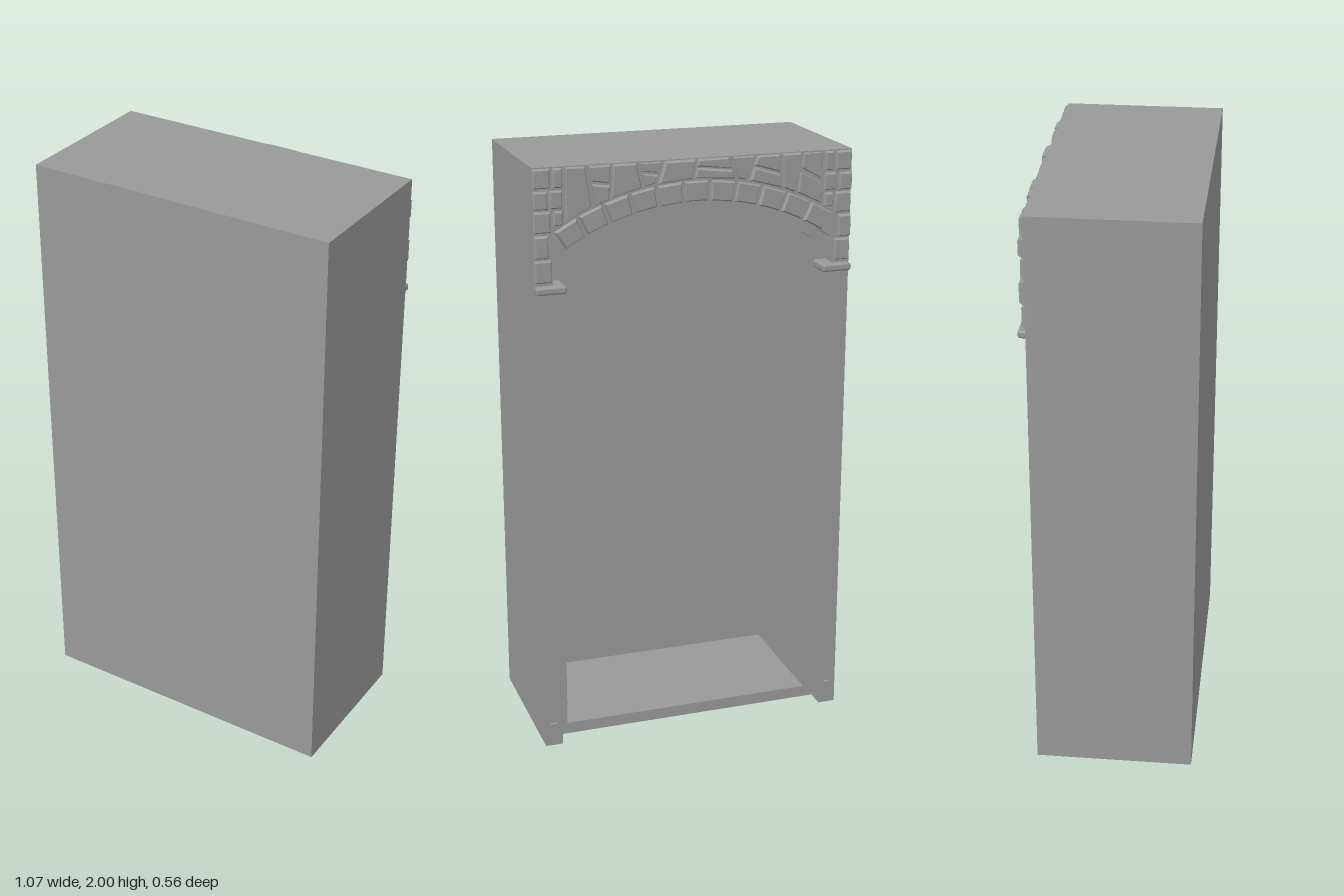
import * as THREE from 'three';
import { RoundedBoxGeometry } from 'three/addons/geometries/RoundedBoxGeometry.js';

const W = 0.535, H = 2, ARC_Y = 1.04;       // half width, height, centre of the arches
const BACK = 0.28, FACE = -0.255, REBATE = -0.19;

export function createModel() {
  const group = new THREE.Group();
  const stoneMat = new THREE.MeshStandardMaterial({ color: 0x999999 });
  stoneMat.name = 'grey stone';

  function add(name, geometry, x = 0, y = 0, z = 0) {
    const mesh = new THREE.Mesh(geometry, stoneMat);
    mesh.name = name;
    mesh.position.set(x, y, z);
    group.add(mesh);
    return mesh;
  }
  const slab = (name, shape, z0, z1) => add(name,
    new THREE.ExtrudeGeometry(shape, { depth: z1 - z0, bevelEnabled: false, curveSegments: 24 }), 0, 0, z0);

  // Traces an opening with straight jambs and a segmental arch
  function traceArch(path, halfWidth, floor, radius) {
    const a = Math.acos(halfWidth / radius);
    path.lineTo(-halfWidth, floor);
    path.lineTo(-halfWidth, ARC_Y + Math.sin(a) * radius);
    path.absarc(0, ARC_Y, radius, Math.PI - a, a, true);
    path.lineTo(halfWidth, floor);
  }

  // Rear wall and niche body
  add('backWall', new THREE.BoxGeometry(W * 2, H, 0.02), 0, H / 2, BACK - 0.01);
  const body = new THREE.Shape([[-W, 0], [W, 0], [W, H], [-W, H]].map(p => new THREE.Vector2(...p)));
  const niche = new THREE.Path();
  niche.moveTo(0.44, 0.04);
  traceArch(niche, 0.44, 0.04, 0.785);
  niche.closePath();
  body.holes.push(niche);
  slab('nicheBody', body, REBATE, BACK - 0.02);

  // Pilasters and spandrel wall, with a sunk panel in each pilaster
  function facade(withPanels) {
    const s = new THREE.Shape();
    s.moveTo(-W, 0);
    traceArch(s, 0.475, 0, 0.82);
    s.lineTo(W, 0);
    s.lineTo(W, H);
    s.lineTo(-W, H);
    s.closePath();
    if (withPanels) for (const c of [-0.505, 0.505]) {
      s.holes.push(new THREE.Path([[-1, 0.08], [1, 0.08], [1, 1.56], [-1, 1.56]]
        .map(([d, y]) => new THREE.Vector2(c + d * 0.012, y))));
    }
    return s;
  }
  slab('facadeCore', facade(false), FACE + 0.01, REBATE);
  slab('facadeFace', facade(true), FACE, FACE + 0.01);

  // Capitals
  for (const s of [-1, 1]) {
    add('capital', new RoundedBoxGeometry(0.1, 0.026, 0.09, 2, 0.008), s * (W - 0.05), 1.612, -0.235);
  }

  // Raised stone with chamfered edges, from its outline and front z
  function stone(name, points, front) {
    const shape = new THREE.Shape(points.map(p => new THREE.Vector2(...p)));
    add(name, new THREE.ExtrudeGeometry(shape, {
      depth: 0.02, bevelThickness: 0.01, bevelSize: 0.005, bevelOffset: -0.005, bevelSegments: 1
    }), 0, 0, front + 0.01);
  }

  // Arch ring
  const count = 11, half = 0.56, step = 2 * half / count, joint = 0.006;
  const polar = (r, a) => [Math.sin(a) * r, ARC_Y + Math.cos(a) * r];
  for (let i = 0; i < count; i++) {
    const a = -half + i * step + joint, b = a + step - 2 * joint, m = (a + b) / 2;
    stone('archStone', [polar(0.823, a), polar(0.823, m), polar(0.823, b),
      polar(0.888, b), polar(0.888, m), polar(0.888, a)], i % 2 ? -0.266 : -0.27);
  }

  // Corner quoins above the capitals
  const rect = (x0, x1, y0, y1) => [[x0, y0], [x1, y0], [x1, y1], [x0, y1]];
  const rows = [1.63, 1.71, 1.79, 1.865, 1.93, 2];
  for (const s of [-1, 1]) {
    for (let i = 0; i < rows.length - 1; i++) {
      const y0 = rows[i] + 0.004, y1 = rows[i + 1] - 0.004;
      const inner = i % 2 ? 0.489 : 0.479;
      const [a, b] = s > 0 ? [inner, W] : [-W, -inner];
      stone('quoin', rect(a, b, y0, y1), i % 2 ? -0.272 : -0.266);
      if (i > 1) {
        const [c, d] = s > 0 ? [0.44, inner - 0.008] : [-inner + 0.008, -0.44];
        stone('quoinFiller', rect(c, d, Math.max(y0, 1.815), y1), -0.266);
      }
    }
  }

  // Spandrel rubble with leaning joints, split into two courses where tall
  const ringTop = x => ARC_Y + Math.sqrt(0.897 ** 2 - x * x);
  const tops = [-0.435, -0.36, -0.285, -0.2, -0.115, 0, 0.11, 0.195, 0.28, 0.36, 0.435];
  const lean = [0, 0.018, -0.006, 0.025, -0.02, 0.01, 0.022, -0.018, 0.006, -0.02, 0];
  for (let i = 0; i < tops.length - 1; i++) {
    const tl = tops[i] + 0.005, tr = tops[i + 1] - 0.005;
    const bl = tl + lean[i], br = tr + lean[i + 1];
    const yl = ringTop(bl), yr = ringTop(br);
    const front = -0.264 - (i % 3) * 0.005;
    const at = (t, b, y, k) => [b + (t - b) * k, y + (H - 0.003 - y) * k];
    const bands = i % 2 ? [[0, 1, 1]] : [[0, 0.4, 0.54], [0.47, 1, 1]];
    bands.forEach(([k0, kl, kr], n) => {
      const low = n ? [0.47, 0.61] : [k0, k0];
      stone('spandrelStone', [at(tl, bl, yl, low[0]), at(tr, br, yr, low[1]),
        at(tr, br, yr, kr), at(tl, bl, yl, kl)], front + n * 0.003);
    });
  }
  return group;
}
